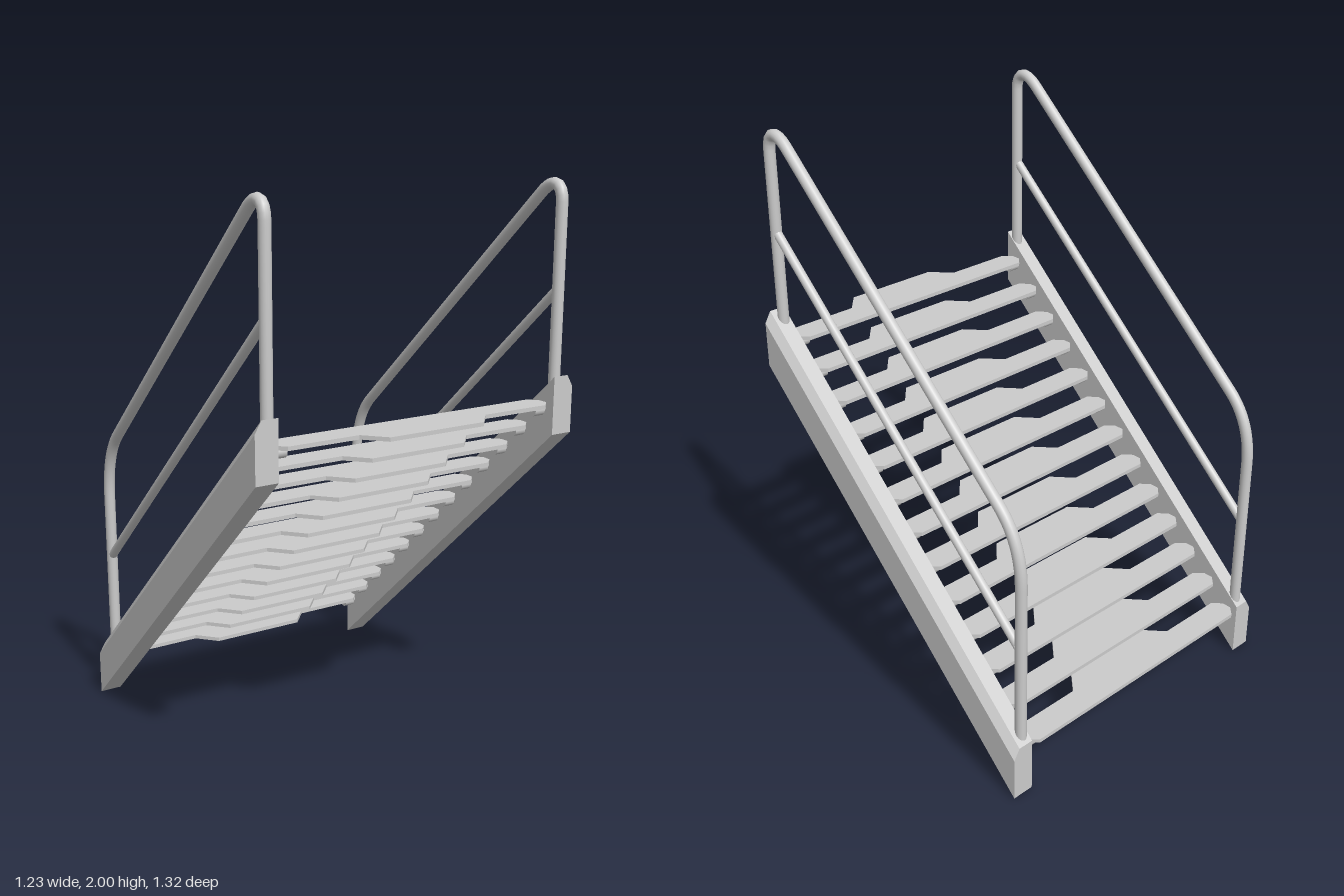
import * as THREE from 'three';

const grey = new THREE.MeshStandardMaterial({ color: 0xcccccc });
const V = (x, y, z) => new THREE.Vector3(x, y, z);

function add(parent, name, geometry) {
  const mesh = new THREE.Mesh(geometry, grey);
  mesh.name = name;
  parent.add(mesh);
  return mesh;
}

// Sloping side beam: a chamfered section extruded along z, then sheared upwards
function stringerGeometry(side) {
  const zBack = -0.66, zFront = 0.59, slope = 1.15 / (zFront - zBack);
  const section = [[0.533, 0], [0.613, 0], [0.613, 0.16], [0.59, 0.2], [0.533, 0.2]];
  const shape = new THREE.Shape(section.map(([x, y]) => new THREE.Vector2(side * x, y)));
  const geometry = new THREE.ExtrudeGeometry(shape, { depth: zFront - zBack, bevelEnabled: false });
  const p = geometry.attributes.position;
  for (let i = 0; i < p.count; i++) p.setY(i, p.getY(i) + p.getZ(i) * slope);
  geometry.translate(0, 0, zBack);
  geometry.computeVertexNormals();
  return geometry;
}

// Bent rail: two posts joined by a sloping bar with rounded corners
function railGeometry(x) {
  const path = new THREE.CurvePath();
  const a = V(x, 1.25, 0.562), b = V(x, 1.92, 0.562), c = V(x, 1.95, 0.465);
  const d = V(x, 1.055, -0.53), e = V(x, 0.8, -0.63), f = V(x, 0.16, -0.63);
  path.add(new THREE.LineCurve3(a, b));
  path.add(new THREE.CubicBezierCurve3(b, V(x, 1.985, 0.562), V(x, 1.998, 0.52), c));
  path.add(new THREE.LineCurve3(c, d));
  path.add(new THREE.QuadraticBezierCurve3(d, V(x, 0.965, -0.63), e));
  path.add(new THREE.LineCurve3(e, f));
  return new THREE.TubeGeometry(path, 160, 0.02, 16);
}

// Flat tread with pointed ends and a nose that widens in the middle
function treadGeometry() {
  const half = [[0, 0], [0.5, 0], [0.53, 0.03], [0.53, 0.065], [0.5, 0.097], [0.245, 0.097], [0.18, 0.17]];
  const outline = [...half, ...half.slice(1).reverse().map(([x, z]) => [-x, z])];
  const shape = new THREE.Shape(outline.map(([x, z]) => new THREE.Vector2(x, z)));
  const geometry = new THREE.ExtrudeGeometry(shape, { depth: 0.014, bevelEnabled: false });
  return geometry.rotateX(Math.PI / 2);
}

export function createModel() {
  const model = new THREE.Group();
  model.name = 'staircase';

  // Side beams and handrails
  for (const side of [-1, 1]) {
    const label = side > 0 ? 'left' : 'right';
    const x = side * 0.556;
    add(model, label + 'Stringer', stringerGeometry(side));
    const rail = new THREE.Group();
    rail.name = label + 'Handrail';
    add(rail, 'bentRail', railGeometry(x));
    const mid = new THREE.LineCurve3(V(x, 1.64, 0.562), V(x, 0.56, -0.63));
    add(rail, 'middleRail', new THREE.TubeGeometry(mid, 1, 0.016, 16));
    model.add(rail);
  }

  // Steps, each resting on a round peg at either end
  const tread = treadGeometry();
  const peg = new THREE.CylinderGeometry(0.021, 0.021, 0.04, 16).rotateZ(Math.PI / 2);
  const pin = new THREE.CylinderGeometry(0.015, 0.015, 0.05, 16).rotateZ(Math.PI / 2);
  for (let i = 0; i < 13; i++) {
    const step = new THREE.Group();
    step.name = 'step' + (i + 1);
    step.position.set(0, 0.187 + i * 0.0892, -0.663 + i * 0.0962);
    add(step, 'tread', tread);
    for (const side of [-1, 1]) {
      add(step, 'peg', peg).position.set(side * 0.504, -0.026, 0.047);
      add(step, 'pin', pin).position.set(side * 0.52, -0.022, 0.047);
    }
    model.add(step);
  }
  return model;
}
